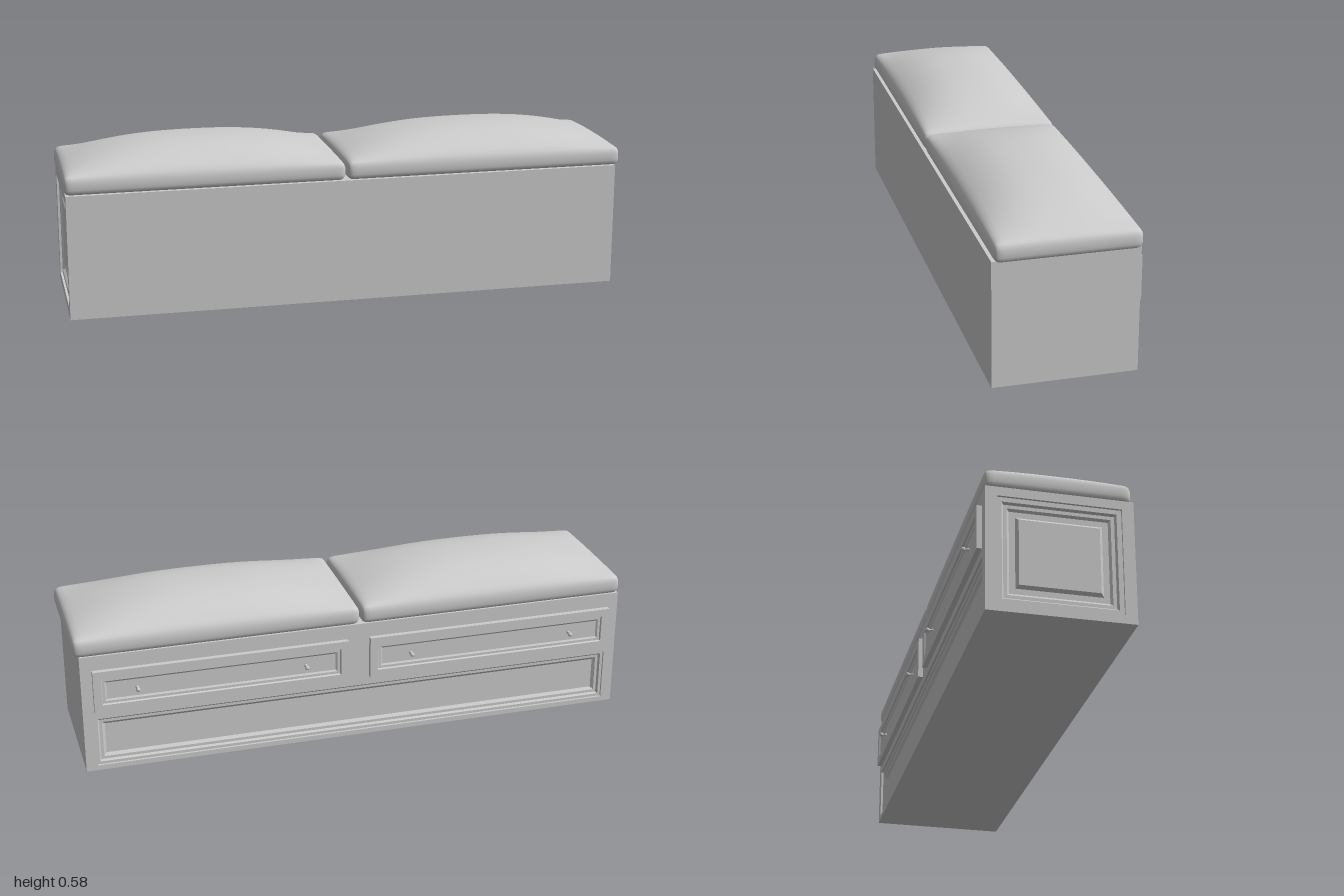
import * as THREE from 'three';
import { mergeVertices } from 'three/addons/utils/BufferGeometryUtils.js';

const grey = new THREE.MeshStandardMaterial({ color: 0xcccccc });
grey.name = 'light grey';

// Rectangular loops [x0, y0, x1, y1, depth] joined from the outside in, with the last one capped.
function steppedPanel(name, loops) {
  const rings = loops.map(([x0, y0, x1, y1, d]) => [[x0, y0, d], [x1, y0, d], [x1, y1, d], [x0, y1, d]]);
  const out = [];
  const quad = (a, b, c, d) => out.push(...a, ...b, ...c, ...a, ...c, ...d);
  for (let k = 0; k + 1 < rings.length; k++) {
    const a = rings[k], b = rings[k + 1];
    for (let i = 0; i < 4; i++) {
      const j = (i + 1) % 4;
      quad(a[i], a[j], b[j], b[i]);
    }
  }
  quad(...rings[rings.length - 1]);
  const geo = new THREE.BufferGeometry();
  geo.setAttribute('position', new THREE.Float32BufferAttribute(out, 3));
  geo.computeVertexNormals();
  const mesh = new THREE.Mesh(geo, grey);
  mesh.name = name;
  return mesh;
}

// Loops of one moulding: each step is [inset, depth] from the given rectangle.
const moulding = ([x0, y0, x1, y1], steps) =>
  steps.map(([s, d]) => [x0 + s, y0 + s, x1 - s, y1 - s, d]);

// Rounded box whose upper side swells into a dome.
function cushion(name, x0, x1) {
  const hx = (x1 - x0) / 2, hy = 0.034, hz = 0.244, r = 0.024;
  let geo = new THREE.BoxGeometry(2, 2, 2, 36, 8, 24);
  geo.deleteAttribute('normal');
  geo.deleteAttribute('uv');
  geo = mergeVertices(geo);
  const pos = geo.attributes.position;
  const half = new THREE.Vector3(hx, hy, hz);
  const inner = half.clone().subScalar(r);
  const p = new THREE.Vector3(), core = new THREE.Vector3();
  const dense = (t) => Math.sin(t * Math.PI / 2);
  const swell = (t) => 1 - Math.pow(Math.min(1, Math.abs(t)), 2.5);
  for (let i = 0; i < pos.count; i++) {
    p.fromBufferAttribute(pos, i);
    p.set(dense(p.x), dense(p.y), dense(p.z)).multiply(half);
    core.copy(p).clamp(inner.clone().negate(), inner);
    p.sub(core).setLength(r).add(core);
    const lift = (p.y + hy) / (2 * hy);
    p.y += 0.08 * lift * swell(p.x / hx) * swell(p.z / hz);
    pos.setXYZ(i, p.x, p.y, p.z);
  }
  geo.computeVertexNormals();
  const mesh = new THREE.Mesh(geo, grey);
  mesh.name = name;
  mesh.position.set((x0 + x1) / 2, 0.436 + hy, 0.016);
  return mesh;
}

export function createModel() {
  const model = new THREE.Group();
  model.name = 'storageBench';
  const X0 = -0.995, X1 = 0.98, Z0 = -0.225, Z1 = 0.265, H = 0.44;

  // Chest: plain front, end, top and base
  const body = new THREE.Group();
  body.name = 'chest';
  const front = steppedPanel('frontFace', [[X0, 0, X1, H, 0]]);
  front.position.z = Z1;
  const plainEnd = steppedPanel('plainEnd', [[-Z1, 0, -Z0, H, 0]]);
  plainEnd.rotation.y = Math.PI / 2;
  plainEnd.position.x = X1;
  const lid = steppedPanel('topFace', [[X0, -Z1, X1, -Z0, 0]]);
  lid.rotation.x = -Math.PI / 2;
  lid.position.y = H;
  const base = steppedPanel('baseFace', [[X0, Z0, X1, Z1, 0]]);
  base.rotation.x = Math.PI / 2;

  // Panelled end with a raised centre field
  const panelEnd = steppedPanel('panelledEnd', [
    [Z0, 0, Z1, H, 0],
    ...moulding([Z0 + 0.04, 0.032, Z1 - 0.04, H - 0.032],
      [[0, 0], [0, -0.008], [0.016, -0.008], [0.022, -0.016], [0.034, -0.016],
        [0.042, -0.022], [0.062, -0.022], [0.072, -0.012]]),
  ]);
  panelEnd.rotation.y = -Math.PI / 2;
  panelEnd.position.x = X0;

  // Drawer side: long recessed panel below, two drawers above
  const back = new THREE.Group();
  back.name = 'drawerSide';
  back.rotation.y = Math.PI;
  back.position.z = Z0;
  back.add(steppedPanel('lowerPanel', [
    [-X1, 0, -X0, H, 0],
    ...moulding([-0.94, 0.018, 0.955, 0.205],
      [[0, 0], [0, -0.008], [0.01, -0.008], [0.016, -0.014], [0.026, -0.014], [0.036, -0.022]]),
  ]));

  const knobProfile = [[0, 0], [0.006, 0], [0.006, 0.002], [0.0035, 0.005], [0.0035, 0.009],
    [0.0075, 0.012], [0.008, 0.015], [0.006, 0.018], [0, 0.019]];
  const knobGeo = new THREE.LatheGeometry(knobProfile.map(([a, b]) => new THREE.Vector2(a, b)), 16);
  knobGeo.rotateX(Math.PI / 2);

  for (const [side, u0, u1] of [['left', -0.94, -0.035], ['right', 0.045, 0.957]]) {
    const drawer = new THREE.Group();
    drawer.name = side + 'Drawer';
    drawer.add(steppedPanel('drawerFront', moulding([u0, 0.232, u1, 0.387],
      [[0, 0], [0, 0.018], [0.028, 0.018], [0.031, 0.012], [0.04, 0.012], [0.046, 0.008]])));
    for (const u of [u0 + 0.152, u1 - 0.155]) {
      const knob = new THREE.Mesh(knobGeo, grey);
      knob.name = 'knob';
      knob.scale.z = 1.5;
      knob.position.set(u, 0.309, 0.008);
      drawer.add(knob);
    }
    back.add(drawer);
  }
  body.add(front, plainEnd, lid, base, panelEnd, back);

  // Two seat cushions side by side
  model.add(body, cushion('rightCushion', -1, -0.018), cushion('leftCushion', -0.012, 1));
  return model;
}
